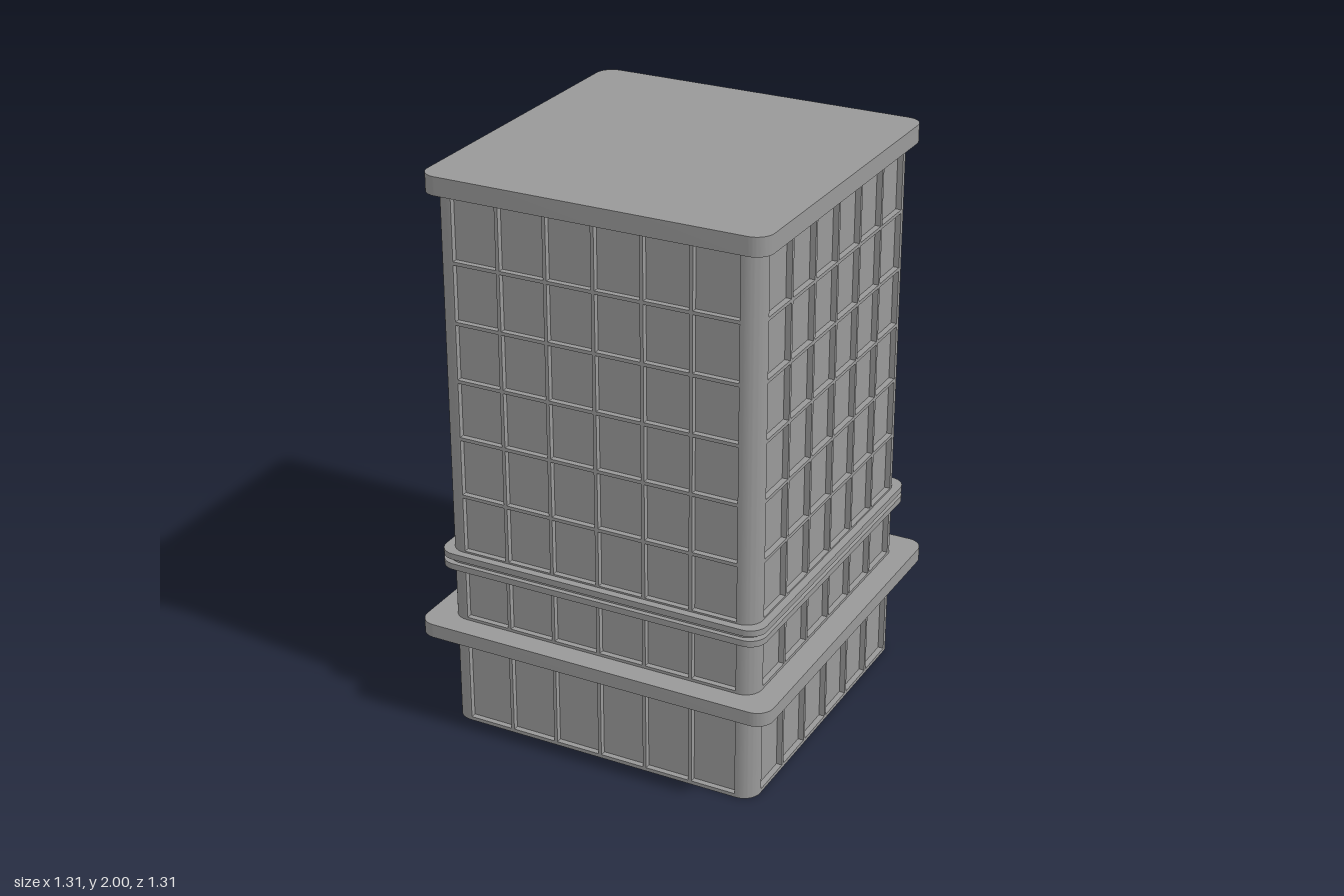
import * as THREE from 'three';
import { toCreasedNormals } from 'three/addons/utils/BufferGeometryUtils.js';

const HALF = 0.573;    // half width of the tower
const RECESS = 0.02;   // how far the panes sit behind the frame
const PIER = 0.513;    // inner edge of the corner piers
const COLUMNS = 6, PITCH = 0.171, GAP = 0.012;
// bottom and top of each row of panes
const ROWS = [
  [0.013, 0.347], [0.41, 0.595], [0.666, 0.866], [0.878, 1.078],
  [1.09, 1.285], [1.297, 1.49], [1.502, 1.698], [1.71, 1.928],
];

function rectangle(path, x0, y0, x1, y1) {
  path.moveTo(x0, y0);
  path.lineTo(x1, y0);
  path.lineTo(x1, y1);
  path.lineTo(x0, y1);
  path.closePath();
  return path;
}

function roundedSquare(h, r) {
  const s = new THREE.Shape();
  s.absarc(h - r, h - r, r, 0, Math.PI / 2);
  s.absarc(-h + r, h - r, r, Math.PI / 2, Math.PI);
  s.absarc(-h + r, -h + r, r, Math.PI, Math.PI * 1.5);
  s.absarc(h - r, -h + r, r, Math.PI * 1.5, Math.PI * 2);
  s.closePath();
  return s;
}

// Extrudes a plan shape upwards from y0 to y1
function upright(shape, y0, y1) {
  const g = new THREE.ExtrudeGeometry(shape, { depth: y1 - y0, bevelEnabled: false, curveSegments: 8 });
  g.rotateX(-Math.PI / 2);
  g.translate(0, y0, 0);
  return toCreasedNormals(g, 0.6);
}

export function createModel() {
  const model = new THREE.Group();
  model.name = 'towerBlock';
  const concrete = new THREE.MeshStandardMaterial({ color: 0x999999 });
  concrete.name = 'grey concrete';

  function add(geometry, name, parent = model) {
    const mesh = new THREE.Mesh(geometry, concrete);
    mesh.name = name;
    parent.add(mesh);
    return mesh;
  }

  // Recessed core, which forms the window panes
  const core = HALF - RECESS;
  add(new THREE.BoxGeometry(core * 2, 1.95, core * 2).translate(0, 0.975, 0), 'windowPanes');

  // Window grid for one side, with an opening for each pane
  const grid = rectangle(new THREE.Shape(), -PIER, 0, PIER, 1.95);
  for (const [y0, y1] of ROWS) {
    for (let i = 0; i < COLUMNS; i++) {
      const x = (i - COLUMNS / 2) * PITCH;
      grid.holes.push(rectangle(new THREE.Path(), x + GAP / 2, y0, x + PITCH - GAP / 2, y1));
    }
  }
  const gridGeometry = new THREE.ExtrudeGeometry(grid, { depth: RECESS, bevelEnabled: false });
  gridGeometry.translate(0, 0, core);

  // Corner pier with a rounded outer edge
  const pier = new THREE.Shape();
  const r = HALF - PIER;
  pier.moveTo(PIER - 0.02, PIER - 0.02);
  pier.lineTo(PIER, PIER - 0.02);
  pier.lineTo(PIER, PIER);
  pier.lineTo(HALF, PIER);
  pier.absarc(PIER, PIER, r, 0, Math.PI / 2);
  pier.lineTo(PIER, PIER);
  pier.lineTo(PIER - 0.02, PIER);
  pier.closePath();
  const pierGeometry = upright(pier, 0, 1.95);

  for (let i = 0; i < 4; i++) {
    const side = new THREE.Group();
    side.name = 'facade' + (i + 1);
    side.rotation.y = i * Math.PI / 2;
    add(gridGeometry, 'windowGrid', side);
    add(pierGeometry, 'cornerPier', side);
    model.add(side);
  }

  // Canopy, grooved belt course and roof slab
  add(upright(roundedSquare(0.655, 0.06), 0.35, 0.4), 'canopy');
  add(upright(roundedSquare(0.6, 0.06), 0.6, 0.622), 'lowerBeltLip');
  add(upright(roundedSquare(0.583, 0.06), 0.622, 0.638), 'beltGroove');
  add(upright(roundedSquare(0.6, 0.06), 0.638, 0.66), 'upperBeltLip');
  add(upright(roundedSquare(0.605, 0.06), 1.936, 2), 'roofSlab');

  return model;
}
